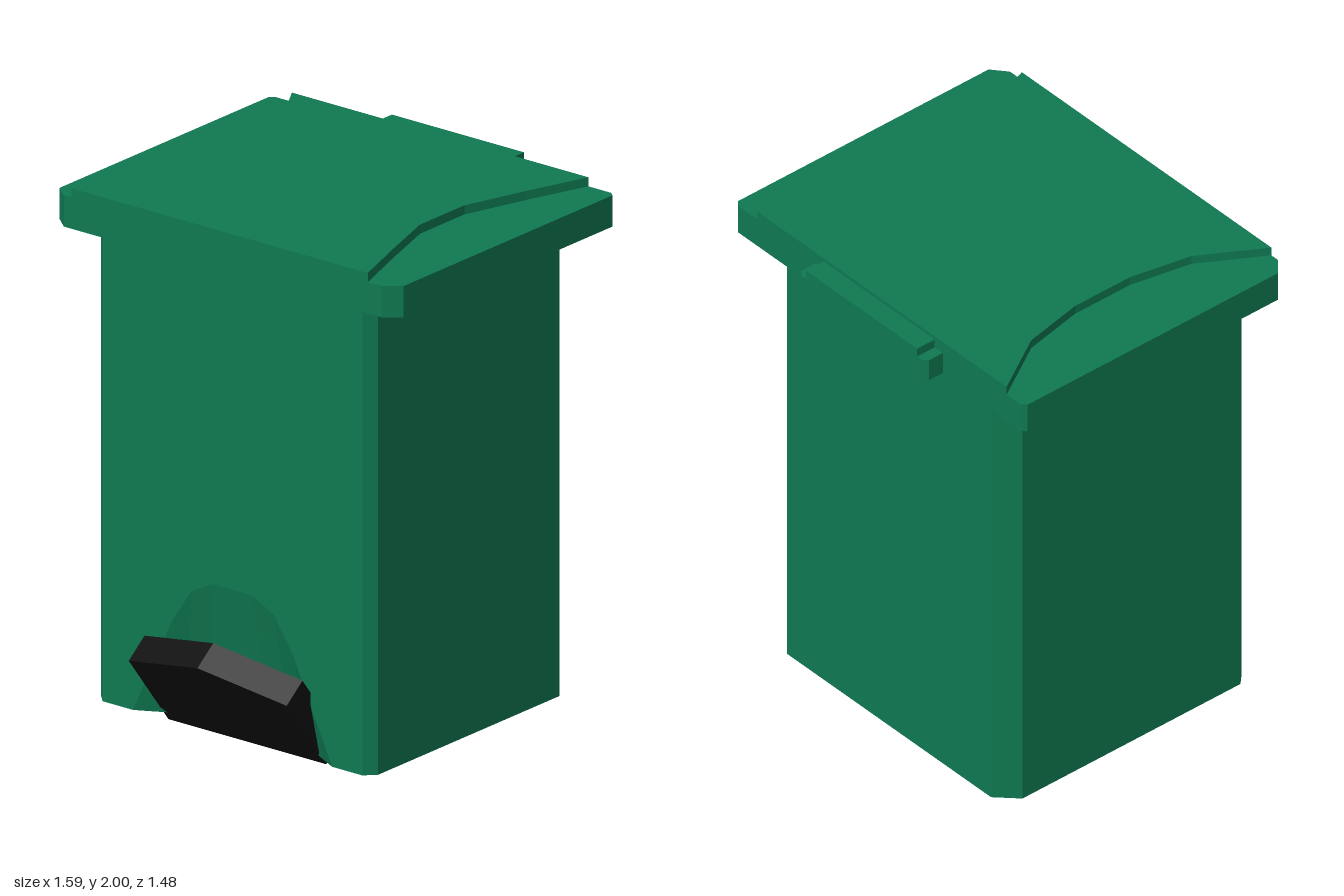
import * as THREE from 'three';

const green = new THREE.MeshStandardMaterial({ color: 0x0f7a52, flatShading: true });
const black = new THREE.MeshStandardMaterial({ color: 0x111111, flatShading: true });

const toShape = (pts) => new THREE.Shape(pts.map(([x, y]) => new THREE.Vector2(x, y)));
const mirrorX = (pts) => pts.map(([x, z]) => [-x, z]).reverse();

function addMesh(parent, name, geometry, material = green) {
  const mesh = new THREE.Mesh(geometry, material);
  mesh.name = name;
  parent.add(mesh);
  return mesh;
}

// Upright prism from an [x, z] outline, with an optional hole
function prism(pts, y0, y1, hole) {
  const flip = (list) => list.map(([x, z]) => [x, -z]);
  const shape = toShape(flip(pts));
  if (hole) shape.holes.push(toShape(flip(hole)));
  return new THREE.ExtrudeGeometry(shape, { depth: y1 - y0, bevelEnabled: false })
    .rotateX(-Math.PI / 2).translate(0, y0, 0);
}

// Quads between a lower and an upper row of points
function strip(low, high) {
  const pos = [];
  for (let i = 0; i < low.length - 1; i++) {
    const [a, b, c, d] = [low[i], low[i + 1], high[i + 1], high[i]];
    pos.push(...a, ...b, ...c, ...a, ...c, ...d);
  }
  const g = new THREE.BufferGeometry();
  g.setAttribute('position', new THREE.Float32BufferAttribute(pos, 3));
  g.computeVertexNormals();
  return g;
}

function createBody() {
  const body = new THREE.Group();
  body.name = 'body';
  const y0 = 0.04, y1 = 1.837, front = 0.545;

  // Chamfered side and back walls
  const half = [[0.6, front], [0.64, 0.505], [0.64, -0.53], [0.56, -0.61]];
  const outline = [...half, ...mirrorX(half)];
  addMesh(body, 'walls', strip(outline.map(([x, z]) => [x, y0, z]), outline.map(([x, z]) => [x, y1, z])));

  // Pedal recess: x, arch height, depth at the floor
  const side = [[-0.46, y0, front], [-0.28, 0.425, 0.45], [-0.19, 0.56, 0.435], [-0.09, 0.61, 0.43]];
  const arch = [...side, ...side.map(([x, y, z]) => [-x, y, z]).reverse()];
  addMesh(body, 'pedalRecess', strip(arch.map(([x, , z]) => [x, y0, z]), arch.map(([x, y]) => [x, y, front])));

  // Front wall with the arch cut out
  const frontPts = [[-0.6, y0], ...arch.map(([x, y]) => [x, y]), [0.6, y0], [0.6, y1], [-0.6, y1]];
  addMesh(body, 'frontWall', new THREE.ShapeGeometry(toShape(frontPts)).translate(0, 0, front));

  // Floor follows the recess
  const floorPts = [...outline, ...arch.map(([x, , z]) => [x, z])];
  addMesh(body, 'floor', new THREE.ShapeGeometry(toShape(floorPts)).rotateX(Math.PI / 2).translate(0, y0, 0));
  addMesh(body, 'bodyTop', new THREE.ShapeGeometry(toShape(outline.map(([x, z]) => [x, -z])))
    .rotateX(-Math.PI / 2).translate(0, y1, 0));
  return body;
}

function createLid() {
  const lid = new THREE.Group();
  lid.name = 'lid';

  // Hollow rim under a flat plate
  const half = [[0.735, 0.6], [0.795, 0.55], [0.795, -0.64], [0.775, -0.657]];
  const outline = [...half, ...mirrorX(half)];
  const inner = outline.map(([x, z]) => [x * 0.945, (z + 0.028) * 0.93 - 0.028]);
  addMesh(lid, 'lidRim', prism(outline, 1.845, 1.92, inner));
  addMesh(lid, 'lidPlate', prism(outline, 1.92, 1.965));

  // Raised centre panel with waisted sides
  addMesh(lid, 'raisedPanel', prism([
    [0.67, 0.6], [0.585, 0.35], [0.505, 0.1], [0.505, -0.155], [0.585, -0.41], [0.67, -0.657],
    [-0.7, -0.657], [-0.55, -0.41], [-0.5, -0.16], [-0.5, 0.1], [-0.55, 0.35], [-0.7, 0.6],
  ], 1.965, 2));

  // Rear hinge bar with lower chamfered ends
  addMesh(lid, 'hingeBar', prism([[0.305, -0.65], [0.305, -0.74], [-0.305, -0.74], [-0.305, -0.65]], 1.86, 1.985));
  const end = [[0.305, -0.65], [0.35, -0.65], [0.35, -0.722], [0.33, -0.74], [0.305, -0.74]];
  addMesh(lid, 'leftHingeEnd', prism(end, 1.86, 1.95));
  addMesh(lid, 'rightHingeEnd', prism(mirrorX(end), 1.86, 1.95));
  return lid;
}

// Thick slanted plate with a peaked top edge
function createPedal(parent) {
  const length = 0.463, thickness = 0.114;
  const shape = toShape([[-0.365, 0], [0.365, 0], [0.365, length - 0.095], [0, length], [-0.365, length - 0.095]]);
  const geometry = new THREE.ExtrudeGeometry(shape, { depth: thickness, bevelEnabled: false })
    .translate(0, 0, -thickness);
  const pedal = addMesh(parent, 'pedal', geometry, black);
  pedal.rotation.x = Math.atan2(0.285, 0.365);
  pedal.position.set(-0.004, 0, 0.455);
}

export function createModel() {
  const bin = new THREE.Group();
  bin.name = 'pedalBin';
  bin.add(createBody(), createLid());
  createPedal(bin);
  return bin;
}
